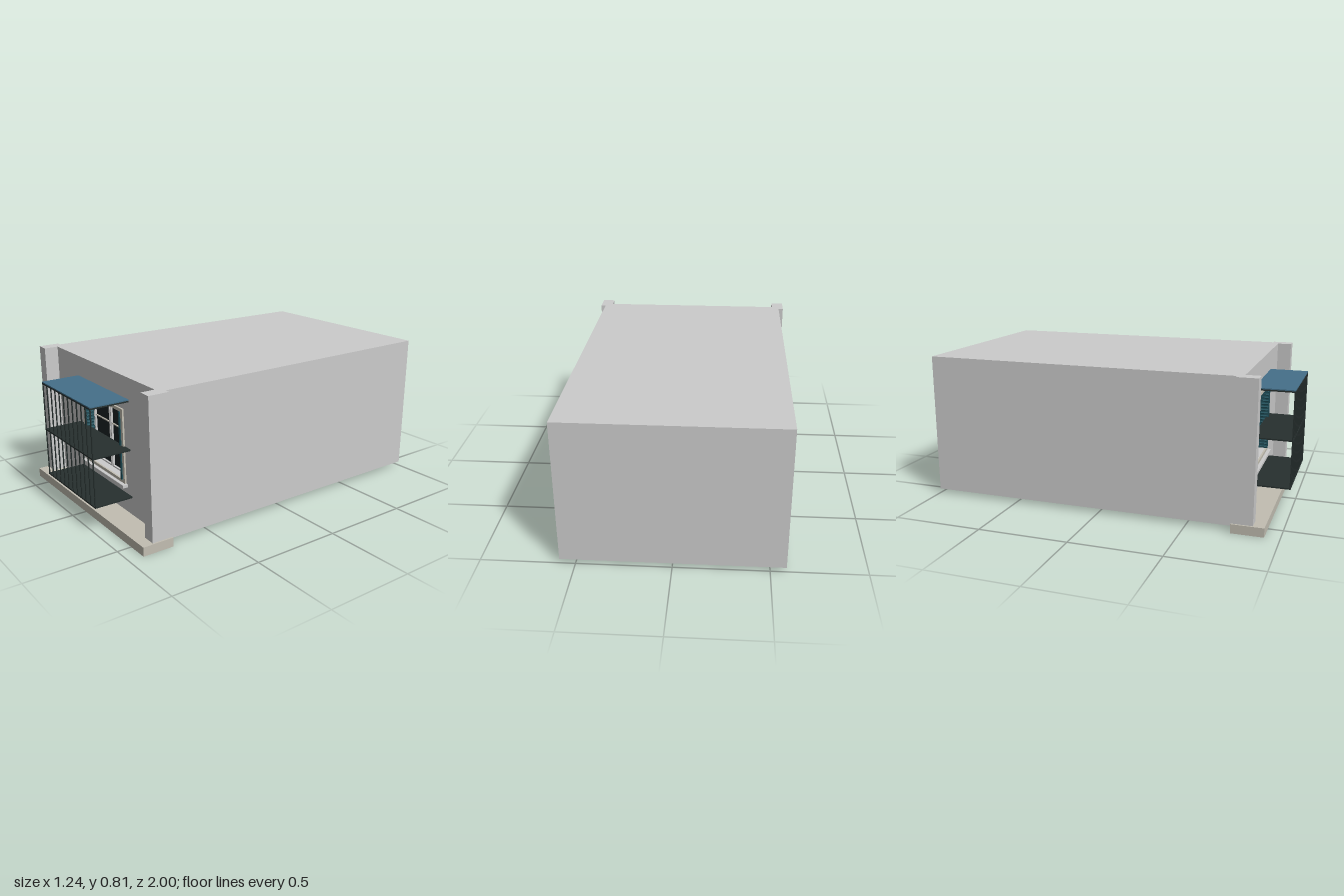
import * as THREE from 'three';

const mat = (color) => new THREE.MeshStandardMaterial({ color });

export function createModel() {
  const model = new THREE.Group();
  const grey = mat(0xcccccc), stone = mat(0xc2beb2), iron = mat(0x27302f);
  const blue = mat(0x45708a), teal = mat(0x1f4f5a), glass = mat(0x1c2426);

  // box given by its minimum and maximum on each axis
  function box(name, material, x0, x1, y0, y1, z0, z1, parent = model) {
    const mesh = new THREE.Mesh(new THREE.BoxGeometry(x1 - x0, y1 - y0, z1 - z0), material);
    mesh.position.set((x0 + x1) / 2, (y0 + y1) / 2, (z0 + z1) / 2);
    mesh.name = name;
    parent.add(mesh);
    return mesh;
  }
  const rect = (path, x, y0, y1) =>
    path.moveTo(-x, y0).lineTo(x, y0).lineTo(x, y1).lineTo(-x, y1).closePath();

  // flat slab in the xy plane with a rectangular opening
  function pierced(name, material, outer, inner, z0, z1, parent = model) {
    const shape = rect(new THREE.Shape(), ...outer);
    shape.holes.push(rect(new THREE.Path(), ...inner));
    const geo = new THREE.ExtrudeGeometry(shape, { depth: z1 - z0, bevelEnabled: false });
    const mesh = new THREE.Mesh(geo, material);
    mesh.position.z = z0;
    mesh.name = name;
    parent.add(mesh);
  }

  // building block, with the front wall opened for the window
  box('building', grey, -0.583, 0.583, 0.025, 0.815, -1, 0.72);
  pierced('frontWall', grey, [0.583, 0.025, 0.815], [0.205, 0.23, 0.615], 0.72, 0.78);
  box('plinth', stone, -0.622, 0.622, 0, 0.05, 0.745, 0.92);
  for (const s of [-1, 1]) {
    const a = s * 0.54, b = s * 0.612;
    box('cornerPilaster', grey, Math.min(a, b), Math.max(a, b), 0.05, 0.815, 0.745, 0.86);
  }

  // window: surround, sill, glass, sashes
  const win = new THREE.Group();
  win.name = 'window';
  model.add(win);
  pierced('surround', stone, [0.225, 0.213, 0.633], [0.205, 0.23, 0.615], 0.78, 0.79, win);
  box('sill', grey, -0.24, 0.24, 0.197, 0.213, 0.78, 0.81, win);
  box('glass', glass, -0.205, 0.205, 0.23, 0.615, 0.721, 0.73, win);
  for (const s of [-1, 1]) {
    const sash = new THREE.Group();
    sash.name = 'sash';
    sash.position.x = s * 0.095;
    win.add(sash);
    pierced('sashFrame', grey, [0.091, 0.23, 0.615], [0.083, 0.238, 0.607], 0.73, 0.742, sash);
    for (const y of [0.36, 0.485])
      box('glazingBar', stone, -0.083, 0.083, y - 0.003, y + 0.003, 0.73, 0.738, sash);
  }

  // louvred shutters folded back against the sides of the opening
  for (const s of [-1, 1]) {
    const shutter = new THREE.Group();
    shutter.name = 'shutter';
    win.add(shutter);
    const a = s * 0.19, b = s * 0.204;
    box('shutterPanel', teal, Math.min(a, b), Math.max(a, b), 0.231, 0.612, 0.742, 0.795, shutter);
    for (let i = 0; i < 20; i++) {
      const y = 0.241 + i * 0.0189;
      const slat = box('slat', teal, s * 0.187 - 0.005, s * 0.187 + 0.005, y - 0.002, y + 0.002,
        0.747, 0.79, shutter);
      slat.rotation.z = s * 0.6;
    }
  }

  // window cage: three plates, blue roof and front bars
  const cage = new THREE.Group();
  cage.name = 'windowCage';
  model.add(cage);
  for (const y of [0.154, 0.422, 0.689])
    box('cagePlate', iron, -0.283, 0.283, y - 0.004, y + 0.004, 0.78, 1, cage);
  box('cageRoof', blue, -0.283, 0.283, 0.693, 0.699, 0.78, 1, cage);
  for (let i = 0; i < 12; i++) {
    const x = -0.28 + i * 0.56 / 11;
    box('cageBar', iron, x - 0.0028, x + 0.0028, 0.155, 0.69, 0.994, 0.9995, cage);
  }

  return model;
}
